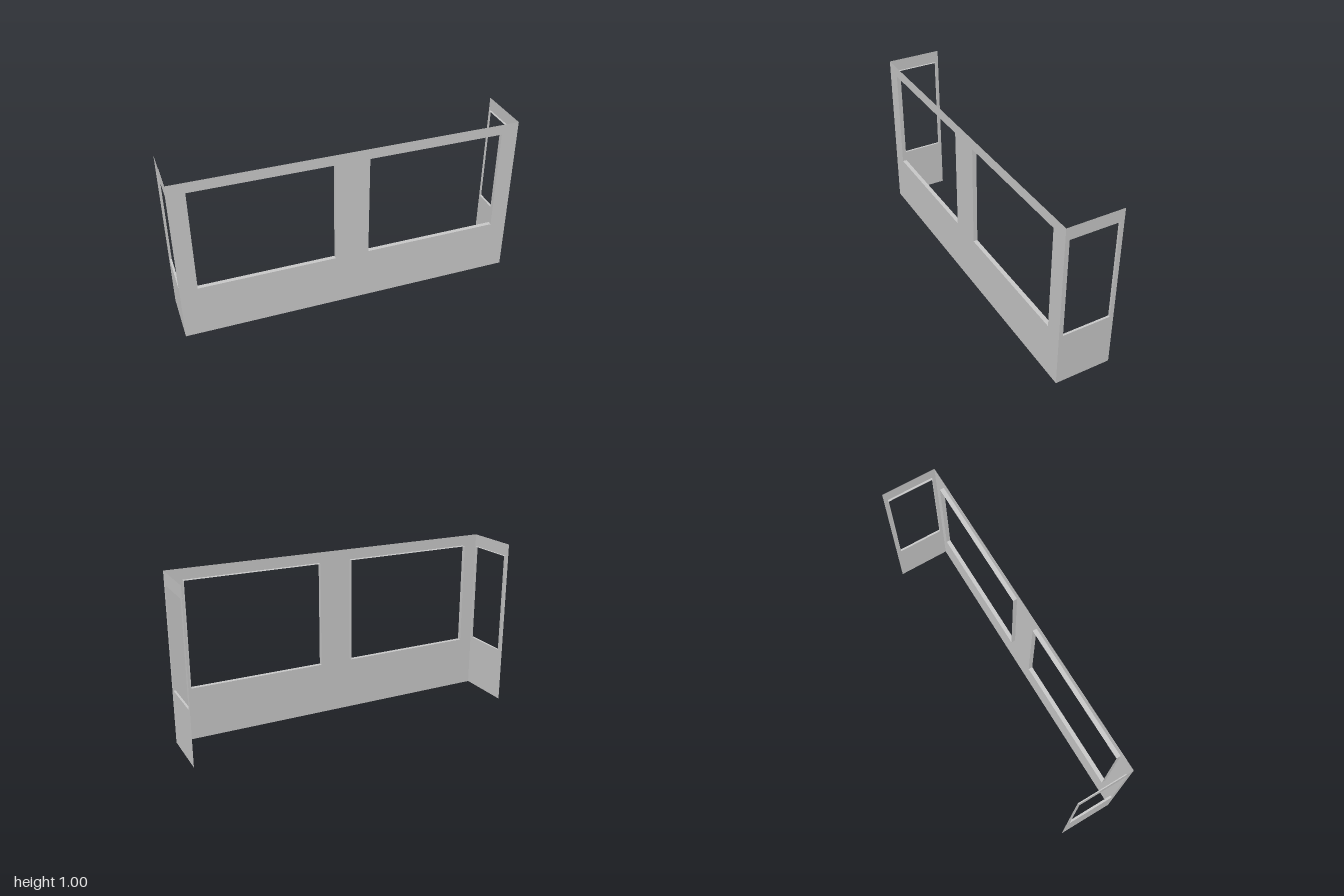
import * as THREE from 'three';

const material = new THREE.MeshStandardMaterial({ color: 0xcccccc, side: THREE.DoubleSide });

function rectangle(target, x0, x1, y0, y1) {
  target.moveTo(x0, y0);
  target.lineTo(x1, y0);
  target.lineTo(x1, y1);
  target.lineTo(x0, y1);
  target.closePath();
  return target;
}

function addMesh(parent, name, geometry) {
  const mesh = new THREE.Mesh(geometry, material);
  mesh.name = name;
  parent.add(mesh);
  return mesh;
}

// Thin wall in the local xy plane, facing +z, with window linings reaching inwards
function createWall(name, width, height, windows, depth) {
  const wall = new THREE.Group();
  wall.name = name;
  const shape = rectangle(new THREE.Shape(), -width / 2, width / 2, 0, height);
  for (const w of windows) shape.holes.push(rectangle(new THREE.Path(), ...w));
  addMesh(wall, 'wallPanel', new THREE.ShapeGeometry(shape));

  for (const [x0, x1, y0, y1] of windows) {
    const lining = new THREE.Group();
    lining.name = 'windowLining';
    wall.add(lining);
    // Sill and head
    for (const [part, y, turn] of [['sill', y0, -1], ['head', y1, 1]]) {
      const mesh = addMesh(lining, part, new THREE.PlaneGeometry(x1 - x0, depth));
      mesh.rotation.x = turn * Math.PI / 2;
      mesh.position.set((x0 + x1) / 2, y, -depth / 2);
    }
    // Upright jambs
    for (const [x, turn] of [[x0, 1], [x1, -1]]) {
      const mesh = addMesh(lining, 'jamb', new THREE.PlaneGeometry(depth, y1 - y0));
      mesh.rotation.y = turn * Math.PI / 2;
      mesh.position.set(x, (y0 + y1) / 2, -depth / 2);
    }
  }
  return wall;
}

export function createModel() {
  const model = new THREE.Group();
  model.name = 'windowBay';
  const halfDepth = 0.166;

  // Front wall with two windows
  const front = createWall('frontWall', 2, 1,
    [[-0.9, -0.1, 0.32, 0.938], [0.1, 0.9, 0.32, 0.938]], 0.025);
  front.position.z = halfDepth;
  model.add(front);

  // Narrow side walls with one window each
  for (const side of [1, -1]) {
    const wall = createWall(side > 0 ? 'leftWall' : 'rightWall', halfDepth * 2, 1,
      [[-0.142, 0.142, 0.326, 0.926]], 0.0125);
    wall.rotation.y = side * Math.PI / 2;
    wall.position.x = side;
    model.add(wall);
  }
  return model;
}
